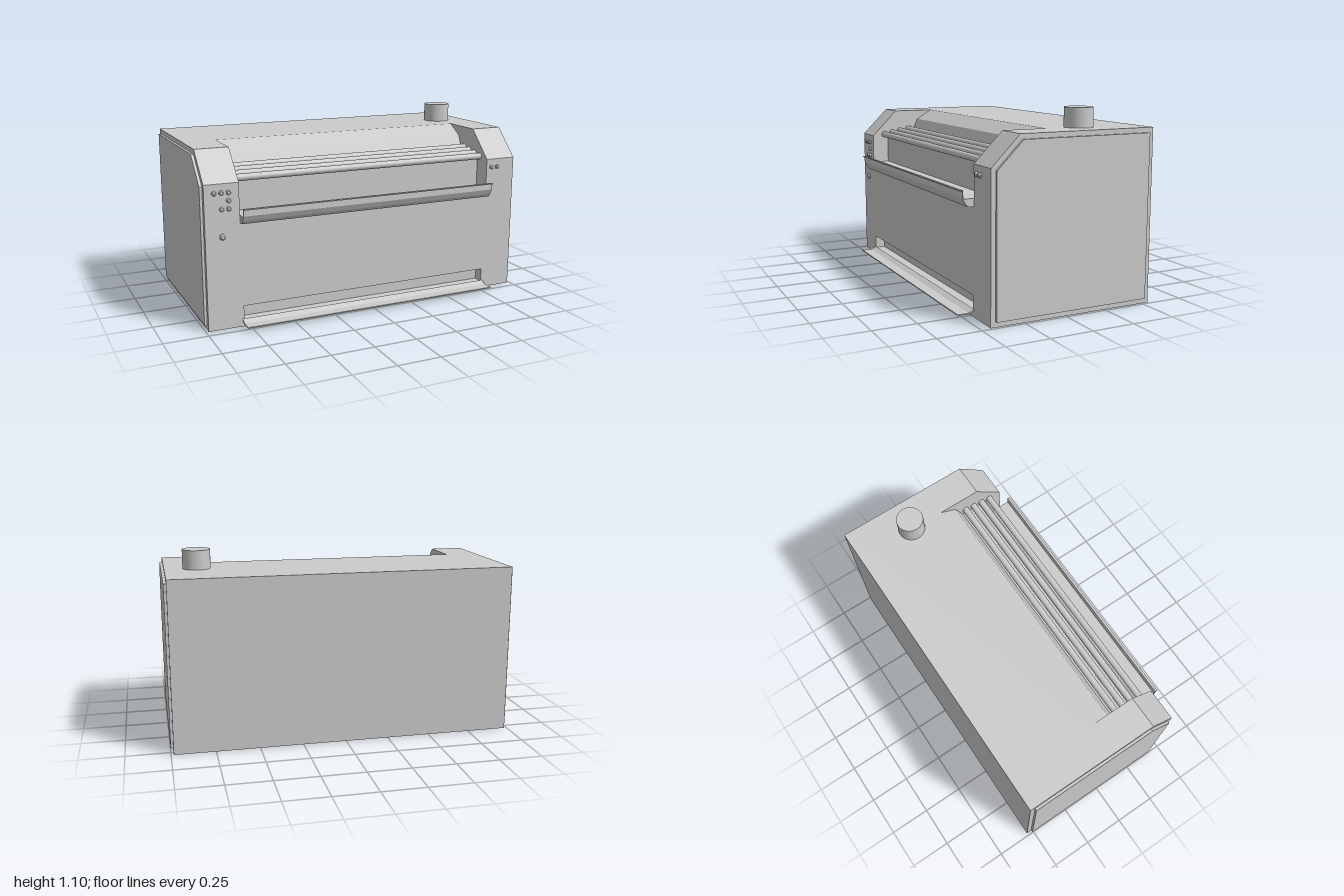
import * as THREE from 'three';

const steel = new THREE.MeshStandardMaterial({ color: 0xcccccc });
const sheet = new THREE.MeshStandardMaterial({ color: 0xcccccc, side: THREE.DoubleSide });

const polygon = (pts) => new THREE.Shape(pts.map(([a, b]) => new THREE.Vector2(a, b)));

// Solid with a [z, y] cross-section, running along x from x0 to x1
function bar(pts, x0, x1) {
  const g = new THREE.ExtrudeGeometry(polygon(pts), { depth: x1 - x0, bevelEnabled: false });
  return g.rotateY(-Math.PI / 2).translate(x1, 0, 0);
}

// Folded sheet following a [z, y] path, running along x from x0 to x1
function fold(path, x0, x1) {
  const pos = [];
  for (let i = 0; i < path.length - 1; i++) {
    const [za, ya] = path[i], [zb, yb] = path[i + 1];
    pos.push(x0, ya, za, x0, yb, zb, x1, yb, zb, x0, ya, za, x1, yb, zb, x1, ya, za);
  }
  const g = new THREE.BufferGeometry();
  g.setAttribute('position', new THREE.Float32BufferAttribute(pos, 3));
  // Outside faces on the left-hand side of the path
  g.computeVertexNormals();
  return g;
}

export function createModel() {
  const model = new THREE.Group();
  const add = (name, geometry, material = steel) => {
    const mesh = new THREE.Mesh(geometry, material);
    mesh.name = name;
    model.add(mesh);
    return mesh;
  };

  const W = 0.985, N = 0.79;            // half width of cabinet and of feed opening
  const back = -0.54, front = 0.445, top = 0.985, shoulder = 0.82, chamfer = 0.28;
  const sill = 0.6, inner = 0.34, rear = 0.02;

  // Cabinet: open underneath, with a front sheet cut for the feed opening and outlet
  const frontShape = polygon([[-W, 0], [W, 0], [W, shoulder], [N, shoulder], [N, sill],
    [-N, sill], [-N, shoulder], [-W, shoulder]]);
  frontShape.holes.push(new THREE.Path([[-0.78, 0.04], [-0.78, 0.12], [0.78, 0.12], [0.78, 0.04]]
    .map(([x, y]) => new THREE.Vector2(x, y))));
  add('frontSheet', new THREE.ShapeGeometry(frontShape).translate(0, 0, front), sheet);
  add('topAndBackSheet', fold([[rear, top], [back, top], [back, 0]], -W, W), sheet);

  // Folded lining of the feed opening
  const lining = [[rear, top], [0.12, 0.925], [0.15, 0.86], [0.17, 0.815], [inner, 0.81],
    [inner, sill], [front, sill]];
  add('feedOpeningLining', fold(lining, -N, N), sheet);

  const profile = [[back, 0], [front, 0], [front, shoulder], [chamfer, top], [back, top]];
  const panelProfile = [[-0.51, 0.03], [0.418, 0.03], [0.418, 0.808], [0.268, 0.957], [-0.51, 0.957]];
  const cheek = [...lining, [front, shoulder], [chamfer, top]];
  for (const s of [-1, 1]) {
    const side = s > 0 ? 'left' : 'right';
    const span = (a, b) => (s > 0 ? [a, b] : [-b, -a]);
    add(side + 'ShoulderSheet', fold([[front, shoulder], [chamfer, top], [rear, top]], ...span(N, W)), sheet);
    add(side + 'SideWall', bar(profile, ...span(W - 0.004, W)));
    add(side + 'SidePanel', bar(panelProfile, ...span(W, 1)));
    add(side + 'OpeningCheek', bar(cheek, ...span(N, N + 0.004)));
  }

  // Rollers lying across the feed opening
  for (let i = 0; i < 4; i++) {
    const g = new THREE.CylinderGeometry(0.02, 0.02, 2 * N, 20).rotateZ(Math.PI / 2);
    add('feedRoller', g.translate(0, 0.858 - i * 0.01, 0.19 + i * 0.058));
  }

  // Feed shelf with an upturned lip
  add('feedShelf', bar([[inner, 0.596], [0.478, 0.596], [0.494, 0.615], [0.51, 0.645], [0.51, 0.68],
    [0.52, 0.68], [0.52, 0.686], [0.505, 0.686], [0.505, 0.64], [inner, 0.64]], -N, N));

  // Outlet recess and its tray near the floor
  const depth = 0.06;
  add('outletRecess', fold([[front, 0.12], [front - depth, 0.12], [front - depth, 0.04], [front, 0.04]],
    -0.78, 0.78), sheet);
  for (const s of [-1, 1]) {
    add('outletRecessEnd', new THREE.PlaneGeometry(depth, 0.08).rotateY(Math.PI / 2)
      .translate(s * 0.78, 0.08, front - depth / 2), sheet);
  }
  add('outletTray', bar([[front, 0.034], [0.475, 0.022], [0.54, 0.022], [0.54, 0.028],
    [0.477, 0.028], [front, 0.045]], -N, N));

  // Exhaust stub
  add('exhaustStub', new THREE.CylinderGeometry(0.08, 0.08, 0.11, 40).translate(0.8, 1.04, -0.18));

  // Control buttons: a collar with a tapered cap
  const buttons = [[-0.93, 0.77], [-0.89, 0.77], [-0.85, 0.77], [-0.85, 0.725], [-0.89, 0.68],
    [-0.85, 0.68], [0.825, 0.77], [0.865, 0.77], [-0.89, 0.527, 1.3]];
  for (const [x, y, k = 1] of buttons) {
    const g = new THREE.Group();
    g.name = 'controlButton';
    const collar = new THREE.Mesh(new THREE.CylinderGeometry(0.0135 * k, 0.0135 * k, 0.012, 20), steel);
    collar.name = 'buttonCollar';
    const cap = new THREE.Mesh(new THREE.CylinderGeometry(0.008 * k, 0.0125 * k, 0.007, 20), steel);
    cap.name = 'buttonCap';
    cap.position.y = 0.0095;
    g.add(collar, cap);
    g.rotation.x = Math.PI / 2;
    g.position.set(x, y, front);
    model.add(g);
  }
  return model;
}
